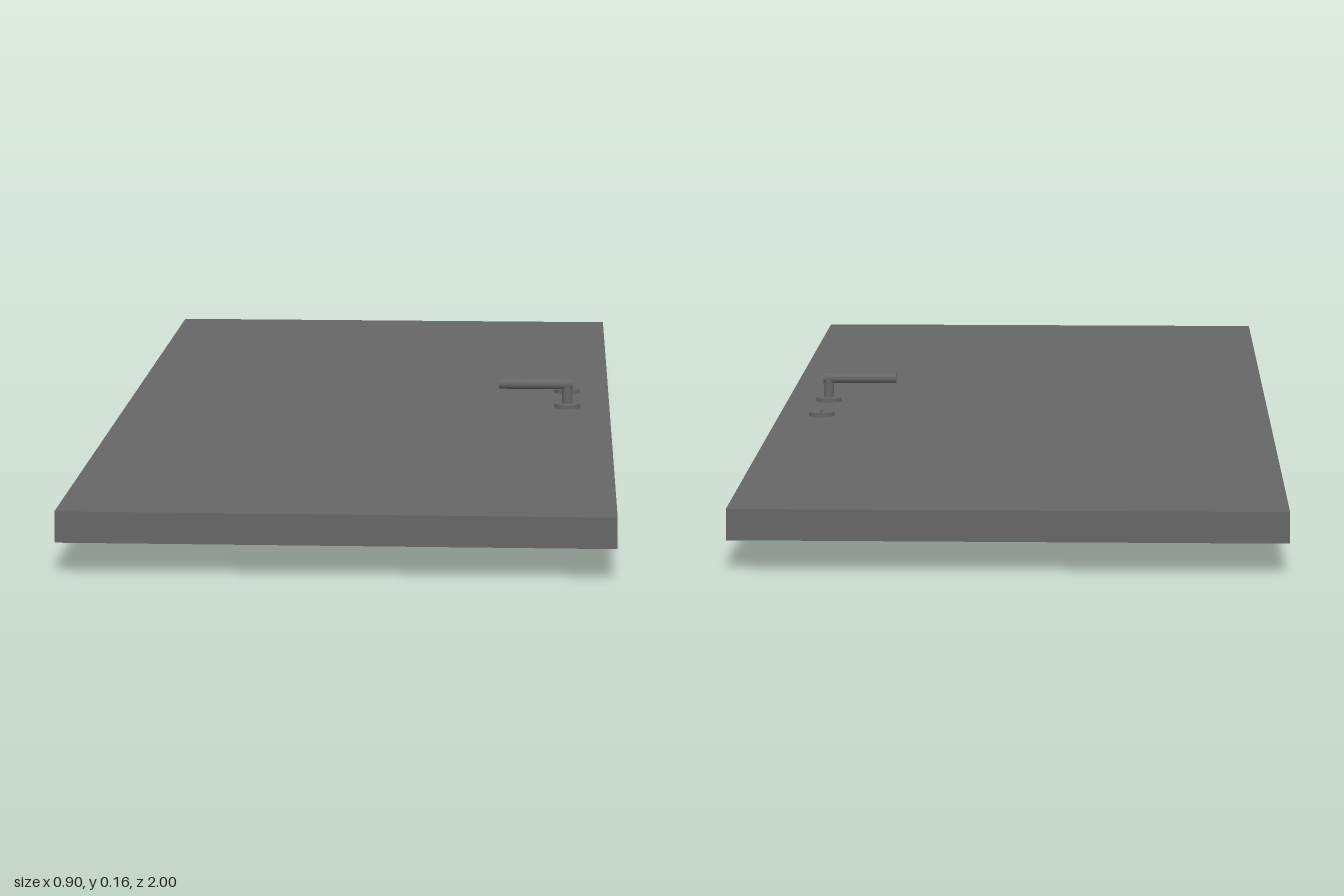
import * as THREE from 'three';

const MID = 0.0785;      // height of the slab's mid-plane
const HALF = 0.0255;     // half the slab thickness
const ROSE = 0.008;      // thickness of the round plates
const ROSE_R = 0.0235;   // radius of the round plates
const R = 0.0095;        // lever tube radius
const REACH = 0.069;     // mid-plane to lever axis
const GRIP = 0.136;      // lever length
const LOCK_X = 0.37;     // distance of the fittings from the centre line

export function createModel() {
  const model = new THREE.Group();
  const mat = new THREE.MeshStandardMaterial({ color: 0x666666 });
  const add = (parent, name, geo, x, y, z) => {
    const mesh = new THREE.Mesh(geo, mat);
    mesh.name = name;
    mesh.position.set(x, y, z);
    parent.add(mesh);
  };

  // Door leaf, lying flat
  add(model, 'doorLeaf', new THREE.BoxGeometry(0.896, HALF * 2, 2), 0, MID, 0);

  // One lever handle on each face; the lower one is the upper turned over
  const rose = new THREE.CylinderGeometry(ROSE_R, ROSE_R, ROSE, 32);
  const stem = new THREE.CylinderGeometry(R, R, REACH - HALF, 24);
  const grip = new THREE.CylinderGeometry(R, R, GRIP, 24).rotateZ(Math.PI / 2);
  for (const [name, turn] of [['upperHandle', 0], ['lowerHandle', Math.PI]]) {
    const handle = new THREE.Group();
    handle.name = name;
    handle.position.set(LOCK_X, MID, 0.025);
    handle.rotation.x = turn;
    add(handle, 'rose', rose, 0, HALF + ROSE / 2, 0);
    add(handle, 'stem', stem, 0, (HALF + REACH) / 2, 0);
    add(handle, 'grip', grip, R - GRIP / 2, REACH, 0);
    model.add(handle);
  }

  // Lock plate with a narrow key slot, on the upper face only
  const disc = new THREE.Shape().absarc(0, 0, ROSE_R, 0, Math.PI * 2);
  const slot = new THREE.Path();
  slot.absarc(0, 0.012, 0.0018, 0, Math.PI);
  slot.absarc(0, -0.012, 0.0018, Math.PI, Math.PI * 2);
  slot.closePath();
  disc.holes.push(slot);
  const plate = new THREE.ExtrudeGeometry(disc, { depth: ROSE, bevelEnabled: false, curveSegments: 16 });
  plate.rotateX(-Math.PI / 2);
  add(model, 'lockPlate', plate, LOCK_X, MID + HALF, -0.134);

  return model;
}
